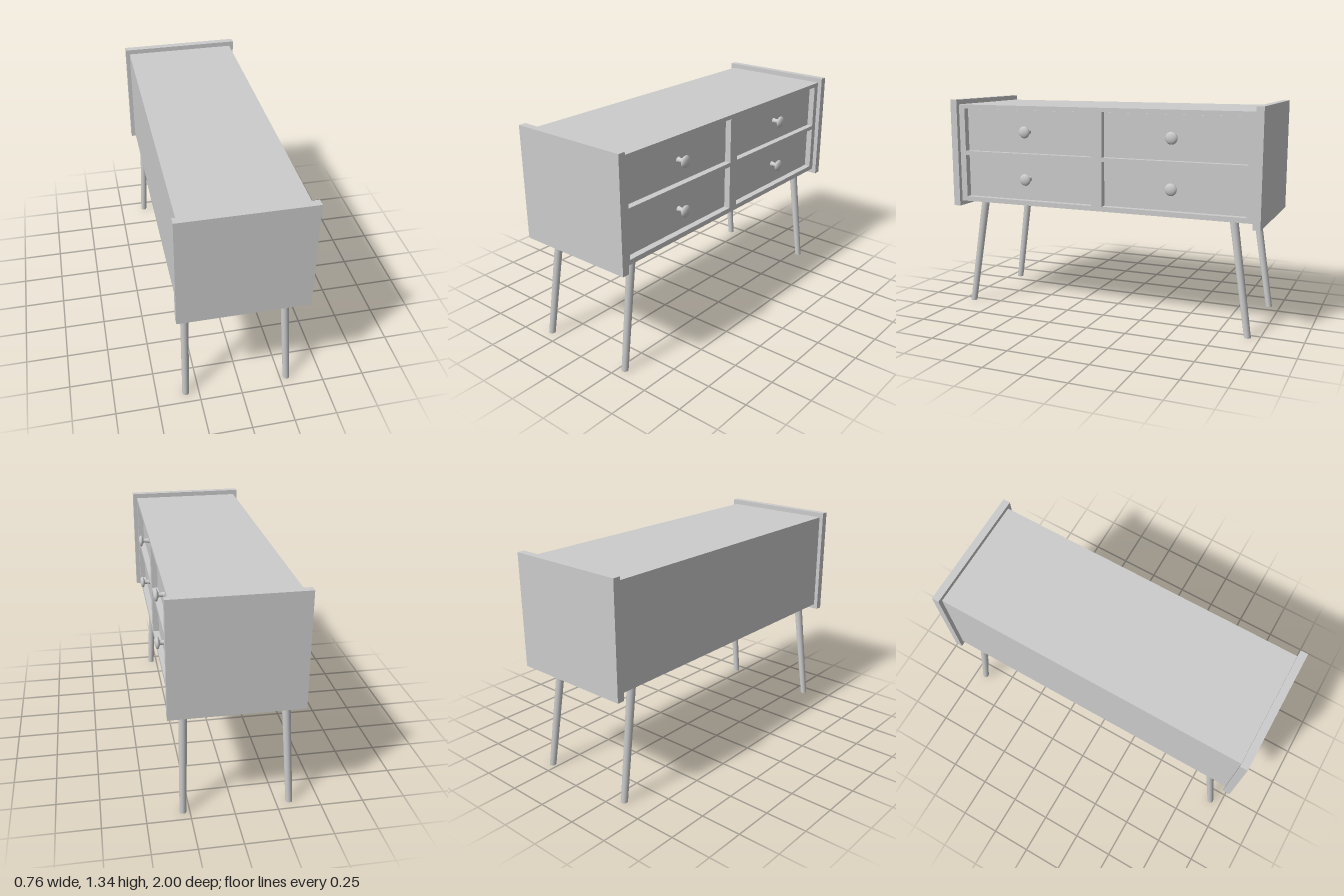
import * as THREE from 'three';

export function createModel() {
  const model = new THREE.Group();
  model.name = 'sideboard';
  const grey = new THREE.MeshStandardMaterial({ color: 0xcccccc });
  grey.name = 'plain grey';

  function add(name, geometry, x, y, z, parent = model) {
    const mesh = new THREE.Mesh(geometry, grey);
    mesh.name = name;
    mesh.position.set(x, y, z);
    parent.add(mesh);
    return mesh;
  }
  // Rectangle outline given by its centre and size
  function rectangle(PathType, cx, cy, w, h) {
    const p = new PathType();
    p.moveTo(cx - w / 2, cy - h / 2);
    p.lineTo(cx + w / 2, cy - h / 2);
    p.lineTo(cx + w / 2, cy + h / 2);
    p.lineTo(cx - w / 2, cy + h / 2);
    p.closePath();
    return p;
  }

  const rows = [0.85, 1.145];
  const columns = [-0.475, 0.475];
  const openW = 0.88, openH = 0.27;

  // Carcass behind the drawers
  add('carcass', new THREE.BoxGeometry(0.66, 0.62, 1.91), -0.025, 0.995, 0);

  // Front frame with four drawer openings
  const frame = rectangle(THREE.Shape, 0, 0.995, 1.91, 0.62);
  for (const y of rows) for (const z of columns) {
    frame.holes.push(rectangle(THREE.Path, -z, y, openW, openH));
  }
  const frameGeometry = new THREE.ExtrudeGeometry(frame, { depth: 0.04, bevelEnabled: false });
  frameGeometry.rotateY(Math.PI / 2);
  add('drawerFrame', frameGeometry, 0.305, 0, 0);

  // End panels overhang the carcass all round
  for (const s of [-1, 1]) {
    add('endPanel', new THREE.BoxGeometry(0.752, 0.68, 0.045), -0.004, 0.995, s * 0.9775);
  }

  // Recessed drawer fronts with turned knobs
  const knobProfile = [
    [0.018, 0], [0.014, 0.012], [0.013, 0.034], [0.018, 0.042], [0.033, 0.046],
    [0.037, 0.052], [0.034, 0.059], [0.024, 0.065], [0.012, 0.068], [0, 0.069],
  ].map(([r, h]) => new THREE.Vector2(r, h));
  const knobGeometry = new THREE.LatheGeometry(knobProfile, 24);
  knobGeometry.rotateZ(-Math.PI / 2);
  for (const y of rows) for (const z of columns) {
    const drawer = new THREE.Group();
    drawer.name = 'drawer';
    drawer.position.set(0.31, y, z);
    model.add(drawer);
    add('drawerFront', new THREE.BoxGeometry(0.01, openH - 0.01, openW - 0.01), -0.005, 0, 0, drawer);
    add('knob', knobGeometry, 0, 0, 0, drawer);
  }

  // Splayed tapered legs, sheared so both ends stay level
  const legH = 0.69;
  for (const sx of [-1, 1]) for (const sz of [-1, 1]) {
    const leg = new THREE.CylinderGeometry(0.025, 0.02, legH, 24);
    leg.translate(0, legH / 2, 0);
    const p = leg.attributes.position;
    for (let i = 0; i < p.count; i++) {
      const t = p.getY(i) / legH;
      p.setX(i, p.getX(i) - sx * 0.022 * t);
      p.setZ(i, p.getZ(i) - sz * 0.105 * t);
    }
    leg.computeBoundingSphere();
    add('leg', leg, -0.02 + sx * 0.309, 0, sz * 0.93);
  }
  return model;
}
